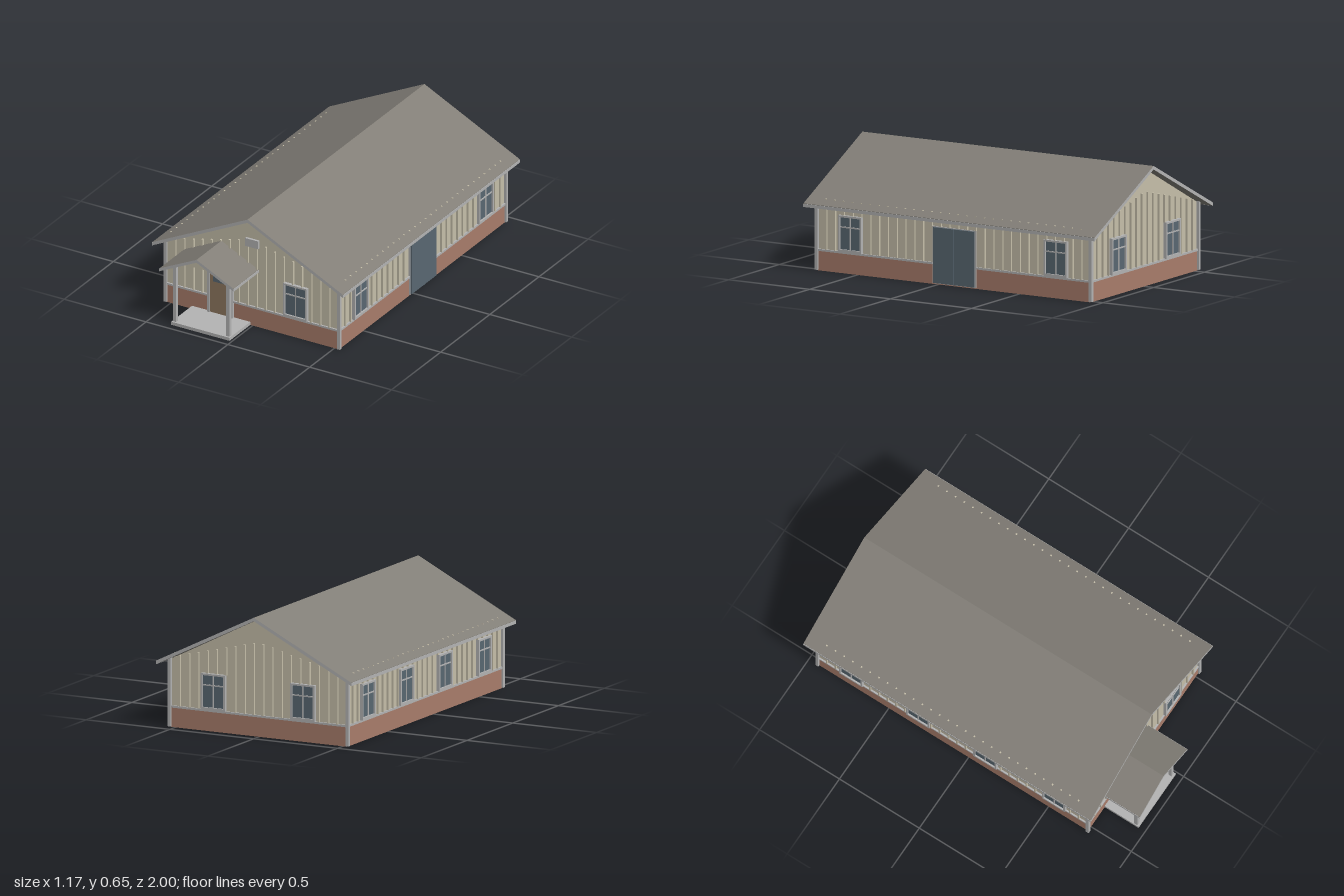
import * as THREE from 'three';

const mat = (color, side = THREE.FrontSide) => new THREE.MeshStandardMaterial({ color, side });
const cream = mat(0xc6bfaa, THREE.DoubleSide);
const brick = mat(0xa97d6b, THREE.DoubleSide);
const trim = mat(0xb4b4b4);
const roofing = mat(0x827e77);
const glass = mat(0x596872);
const wood = mat(0x8f7860);

const HALF_W = 0.525, Z_FRONT = 0.745, Z_BACK = -0.94;
const Z_MID = (Z_FRONT + Z_BACK) / 2, LENGTH = Z_FRONT - Z_BACK;
const BRICK_TOP = 0.105, EAVE = 0.365, APEX = 0.63;

// Box given by its min and max corners
function box(parent, name, material, x0, x1, y0, y1, z0, z1) {
  const mesh = new THREE.Mesh(new THREE.BoxGeometry(x1 - x0, y1 - y0, z1 - z0), material);
  mesh.position.set((x0 + x1) / 2, (y0 + y1) / 2, (z0 + z1) / 2);
  mesh.name = name;
  parent.add(mesh);
  return mesh;
}

// Flat panel from outline points, facing local +z
function panel(parent, name, material, points, z = 0) {
  const shape = new THREE.Shape(points.map(([x, y]) => new THREE.Vector2(x, y)));
  const mesh = new THREE.Mesh(new THREE.ShapeGeometry(shape), material);
  mesh.position.z = z;
  mesh.name = name;
  parent.add(mesh);
}

// Two-slope roof slab with pale verge and eave boards
function gableRoof(parent, name, x, half, apex, eave, thick, z0, z1) {
  const group = new THREE.Group();
  group.name = name;
  const shape = new THREE.Shape([
    [-half, eave], [-half, eave - thick], [0, apex - thick],
    [half, eave - thick], [half, eave], [0, apex],
  ].map(([px, py]) => new THREE.Vector2(px, py)));
  const geometry = new THREE.ExtrudeGeometry(shape, { depth: z1 - z0, bevelEnabled: false });
  const slab = new THREE.Mesh(geometry, [trim, roofing]);
  slab.position.z = z0;
  slab.name = 'roofSlopes';
  group.add(slab);
  for (const s of [-1, 1]) {
    const xe = s * half;
    box(group, 'eaveBoard', trim, xe - 0.002, xe + 0.002, eave - thick, eave - 0.002, z0, z1);
  }
  group.position.x = x;
  parent.add(group);
}

// Window centred on u: outer frame, glass and cross bars
function addWindow(wall, u) {
  const group = new THREE.Group();
  group.name = 'window';
  group.position.x = u;
  const w = 0.072, y0 = 0.115, y1 = 0.31, b = 0.01, d = 0.018;
  box(group, 'frameSide', trim, -w, -w + b, y0, y1, 0, d);
  box(group, 'frameSide', trim, w - b, w, y0, y1, 0, d);
  box(group, 'frameHead', trim, -w + b, w - b, y1 - b, y1, 0, d);
  box(group, 'frameSill', trim, -w + b, w - b, y0, y0 + b + 0.004, 0, d);
  box(group, 'pane', glass, -w + b, w - b, y0 + b, y1 - b, 0, 0.009);
  box(group, 'uprightBar', trim, -0.003, 0.003, y0 + b, y1 - b, 0, 0.013);
  box(group, 'crossBar', trim, -w + b, w - b, 0.244, 0.251, 0, 0.013);
  wall.add(group);
}

// Wooden front door with a small light
function addFrontDoor(wall, u) {
  const group = new THREE.Group();
  group.name = 'frontDoor';
  group.position.x = u;
  for (const s of [-1, 1]) {
    box(group, 'doorJamb', trim, s * 0.07 - 0.007, s * 0.07 + 0.007, 0.018, 0.31, -0.004, 0.018);
  }
  box(group, 'doorHead', trim, -0.063, 0.063, 0.297, 0.31, -0.004, 0.018);
  box(group, 'doorLeaf', wood, -0.063, 0.063, 0.018, 0.297, -0.003, 0.011);
  box(group, 'doorPane', glass, -0.042, 0.042, 0.203, 0.272, 0, 0.014);
  wall.add(group);
}

// Glazed double door
function addDoubleDoor(wall, u) {
  const group = new THREE.Group();
  group.name = 'doubleDoor';
  group.position.x = u;
  box(group, 'doorFrame', trim, -0.135, 0.135, 0.005, 0.31, 0, 0.007);
  for (const s of [-1, 1]) {
    box(group, 'doorLeaf', glass, s * 0.064 - 0.062, s * 0.064 + 0.062, 0.008, 0.305, 0, 0.014);
  }
  box(group, 'meetingStile', glass, -0.003, 0.003, 0.008, 0.305, 0, 0.016);
  wall.add(group);
}

// One wall in local space: u along x, outside towards +z
function addWall(parent, name, x, z, turn, width, gable, openings) {
  const wall = new THREE.Group();
  wall.name = name;
  const h = width / 2;
  const outline = [[-h, BRICK_TOP], [h, BRICK_TOP], [h, EAVE]];
  if (gable) outline.push([0, APEX]);
  outline.push([-h, EAVE]);
  panel(wall, 'siding', cream, outline);
  panel(wall, 'brickBase', brick, [[-h, 0], [h, 0], [h, BRICK_TOP], [-h, BRICK_TOP]], 0.003);

  // Trim rail, broken at the doors
  let start = -h;
  const doors = openings.filter((o) => o.door).sort((a, b) => a.u - b.u);
  for (const d of [...doors, { u: h, half: 0 }]) {
    box(wall, 'trimRail', trim, start, d.u - d.half, BRICK_TOP, 0.116, 0, 0.009);
    start = d.u + d.half;
  }

  // Vertical battens, kept clear of openings
  const count = Math.round(width / 0.055);
  for (let i = 1; i < count; i++) {
    const u = -h + (width * i) / count;
    const over = openings.some((o) => Math.abs(u - o.u) < o.half + 0.004);
    const top = gable ? 0.375 + 0.25 * (h - Math.abs(u)) : 0.387;
    box(wall, 'batten', cream, u - 0.004, u + 0.004, over ? 0.31 : 0.116, top, 0, 0.011);
  }
  for (const o of openings) o.build(wall, o.u);

  wall.position.set(x, 0, z);
  wall.rotation.y = turn;
  parent.add(wall);
  return wall;
}

export function createModel() {
  const house = new THREE.Group();
  house.name = 'house';
  const win = (u) => ({ u, half: 0.072, build: addWindow });
  const W = HALF_W * 2;

  // Walls
  const front = addWall(house, 'frontWall', 0, Z_FRONT, 0, W, true, [
    win(0.267), { u: -0.192, half: 0.077, door: true, build: addFrontDoor },
  ]);
  box(front, 'gableVent', trim, -0.04, 0.04, 0.465, 0.511, 0, 0.014);
  addWall(house, 'backWall', 0, Z_BACK, Math.PI, W, true, [win(-0.267), win(0.267)]);
  addWall(house, 'leftWall', HALF_W, Z_MID, Math.PI / 2, LENGTH, false, [
    win(Z_MID - 0.54), win(Z_MID + 0.73),
    { u: Z_MID + 0.1, half: 0.135, door: true, build: addDoubleDoor },
  ]);
  addWall(house, 'rightWall', -HALF_W, Z_MID, -Math.PI / 2, LENGTH, false,
    [-0.73, -0.31, 0.11, 0.54].map((z) => win(z - Z_MID)));

  // Corner boards
  for (const sx of [-1, 1]) {
    for (const [z, sz] of [[Z_FRONT, 1], [Z_BACK, -1]]) {
      const x = sx * (HALF_W + 0.005), zc = z + sz * 0.004;
      box(house, 'cornerBoard', trim, x - 0.009, x + 0.009, 0.004, 0.378, zc - 0.009, zc + 0.009);
    }
  }

  // Main roof
  gableRoof(house, 'mainRoof', 0, 0.582, 0.648, 0.36, 0.019, -1, 0.8);

  // Porch
  const porch = new THREE.Group();
  porch.name = 'porch';
  house.add(porch);
  box(porch, 'porchSlab', trim, -0.37, -0.014, 0, 0.018, Z_FRONT, 0.96);
  for (const x of [-0.356, -0.03]) {
    box(porch, 'porchPost', trim, x - 0.01, x + 0.01, 0.018, 0.35, 0.93, 0.95);
  }
  panel(porch, 'porchGable', cream, [[-0.332, 0.364], [-0.052, 0.364], [-0.192, 0.432]], 0.94);
  gableRoof(porch, 'porchRoof', -0.192, 0.226, 0.448, 0.338, 0.017, 0.66, 1);

  return house;
}
